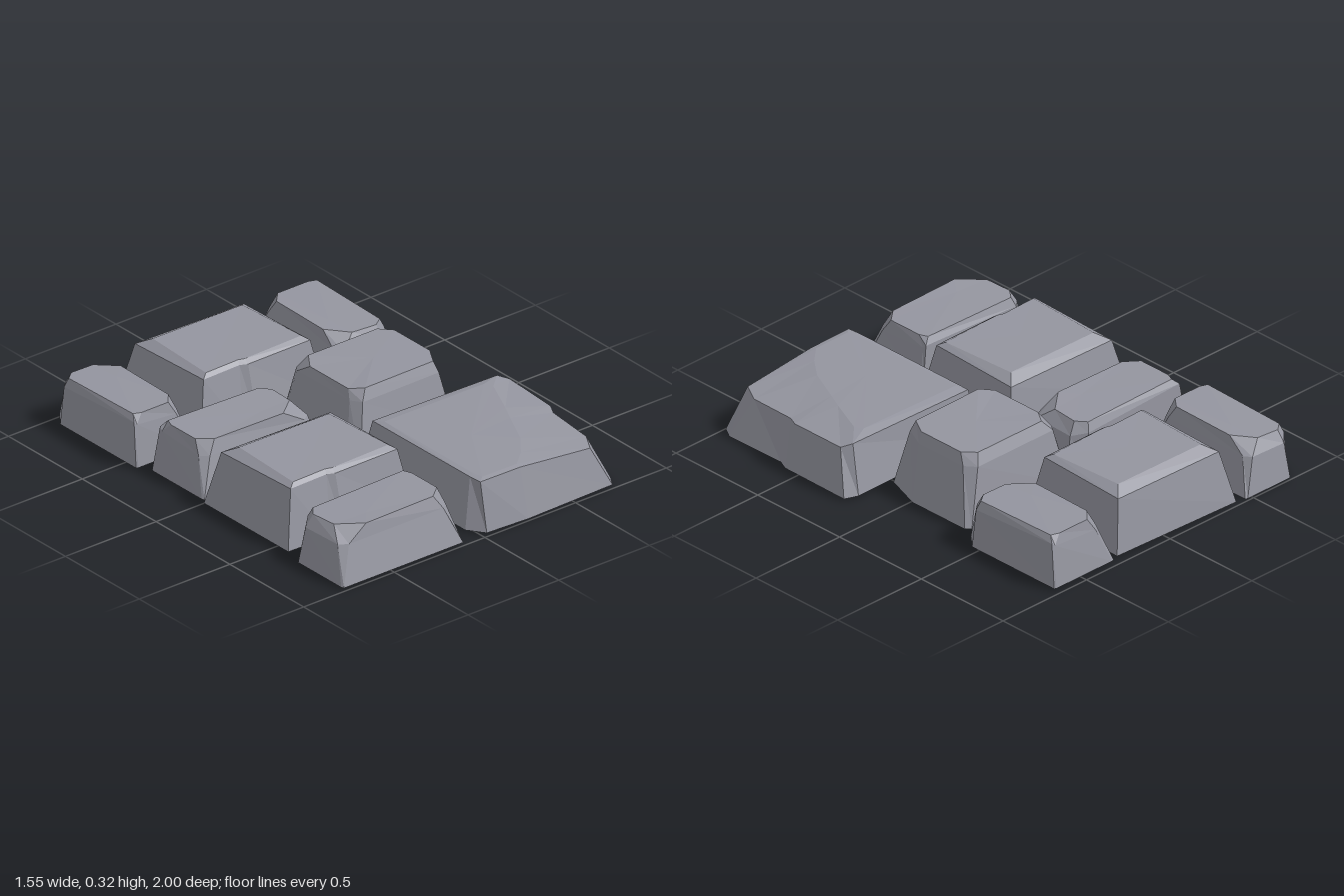
import * as THREE from 'three';

// Cross-section rings run clockwise as seen from above; each point is [x, z, y].
const BASE = 0.01;
const at = (y, pts) => pts.map(([x, z, py]) => [x, z, py ?? y]);

// Narrow stone with one clipped corner
const narrow = {
  centre: [-0.09, 0.04, 0.238],
  rings: [
    at(BASE, [[-0.333, -0.122], [-0.254, -0.182], [0.33, -0.182], [0.335, -0.17],
      [0.335, 0.17], [0.33, 0.183], [-0.328, 0.183], [-0.333, 0.17]]),
    at(0.18, [[-0.302, -0.11, 0.175], [-0.245, -0.165, 0.19], [0.298, -0.168, 0.215],
      [0.3, -0.15, 0.2], [0.297, 0.1], [0.26, 0.133], [-0.26, 0.133], [-0.3, 0.105]]),
    at(0.242, [[-0.268, -0.1, 0.232], [-0.23, -0.148, 0.232], [0.268, -0.15], [0.284, -0.11],
      [0.284, 0.06], [0.22, 0.113], [-0.155, 0.12], [-0.26, 0.03, 0.235]]),
  ],
};

// Nearly square stone with a small step in its front face
const square = {
  centre: [0, 0.02, 0.291],
  rings: [
    at(BASE, [[-0.344, -0.296], [0.344, -0.27], [0.339, 0.28],
      [-0.048, 0.292], [-0.116, 0.275], [-0.344, 0.27]]),
    at(0.275, [[-0.29, -0.245, 0.26], [0.3, -0.232, 0.26], [0.295, 0.225],
      [-0.05, 0.228], [-0.085, 0.212], [-0.288, 0.218]]),
    at(0.292, [[-0.24, -0.185], [0.25, -0.18], [0.27, 0.195],
      [-0.05, 0.205], [-0.08, 0.195], [-0.26, 0.2]]),
  ],
};

// Tallest stone, with clipped corners
const tall = {
  centre: [0.28, -0.1, 0.323],
  rings: [
    at(BASE, [[-0.037, -0.34], [-0.01, -0.37], [0.56, -0.36], [0.583, -0.34],
      [0.583, -0.02], [0.52, 0.16], [-0.01, 0.17], [-0.037, 0.11]]),
    at(0.27, [[0.015, -0.29], [0.035, -0.32], [0.485, -0.32], [0.525, -0.27],
      [0.525, 0], [0.475, 0.105], [0.05, 0.11], [0.018, 0.06]]),
    at(0.322, [[0.028, -0.22, 0.315], [0.08, -0.295], [0.46, -0.295], [0.51, -0.24],
      [0.51, 0], [0.46, 0.085], [0.08, 0.09], [0.028, 0.04, 0.315]]),
  ],
};

// Largest stone, its top falling away to the front and side
const large = {
  centre: [0.25, 0.6, 0.248],
  rings: [
    at(BASE, [[-0.035, 0.188], [0.71, 0.18], [0.773, 0.205], [0.768, 0.57], [0.745, 0.62],
      [0.75, 0.93], [0.715, 0.987], [0.24, 1], [0.02, 0.988], [-0.035, 0.91]]),
    at(0.238, [[0.015, 0.22], [0.69, 0.235], [0.73, 0.27, 0.222], [0.72, 0.56, 0.214],
      [0.695, 0.61, 0.21], [0.68, 0.85, 0.2], [0.625, 0.945, 0.2], [0.24, 0.945],
      [0.02, 0.945, 0.24], [0.015, 0.88, 0.24]]),
    at(0.247, [[0.04, 0.27], [0.58, 0.28, 0.251], [0.6, 0.32, 0.25], [0.52, 0.5, 0.248],
      [0.48, 0.58, 0.246], [0.4, 0.75, 0.245], [0.32, 0.85, 0.243], [0.24, 0.92, 0.243],
      [0.05, 0.92, 0.245], [0.04, 0.86, 0.245]]),
  ],
};

const material = new THREE.MeshStandardMaterial({ color: 0x94959f, flatShading: true });

// Place a stone with an offset and a 2x2 plan matrix [a, b, c, d]
function stone(name, { rings, centre }, [ox, oz] = [0, 0], [a, b, c, d] = [1, 0, 0, 1]) {
  const move = ([x, z, y]) => new THREE.Vector3(ox + a * x + b * z, y, oz + c * x + d * z);
  const loops = rings.map(ring => {
    const loop = ring.map(move);
    return a * d - b * c < 0 ? loop.reverse() : loop; // keep winding when mirrored
  });
  const n = loops[0].length;
  const lid = move(centre);
  const floor = new THREE.Vector3(lid.x, 0, lid.z);
  const tris = [];
  for (let i = 0; i < n; i++) {
    const j = (i + 1) % n;
    for (let k = 0; k < loops.length - 1; k++) {
      const [lo, hi] = [loops[k], loops[k + 1]];
      tris.push(lo[i], hi[i], hi[j], lo[i], hi[j], lo[j]);
    }
    const top = loops[loops.length - 1];
    tris.push(lid, top[j], top[i], floor, loops[0][i], loops[0][j]);
  }
  const geometry = new THREE.BufferGeometry().setFromPoints(tris);
  geometry.computeVertexNormals();
  const mesh = new THREE.Mesh(geometry, material);
  mesh.name = name;
  return mesh;
}

export function createModel() {
  const group = new THREE.Group();
  group.name = 'pavingStones';
  group.add(
    // narrow stones: one as drawn, the others flipped or turned
    stone('frontNarrowStone', narrow, [-0.442, 0.808]),
    stone('middleNarrowStone', narrow, [-0.397, -0.185], [-1, 0, 0, 0.97]),
    stone('backRightNarrowStone', narrow, [-0.613, -0.707], [0, 0.87, 0.88, 0]),
    stone('backLeftNarrowStone', narrow, [0.488, -0.687], [0, -0.975, -0.86, 0]),
    // square stones
    stone('backSquareStone', square, [-0.066, -0.69]),
    stone('middleSquareStone', square, [-0.403, 0.312], [1, 0, 0, 1.01]),
    // single stones
    stone('tallStone', tall),
    stone('largeStone', large),
  );
  return group;
}
